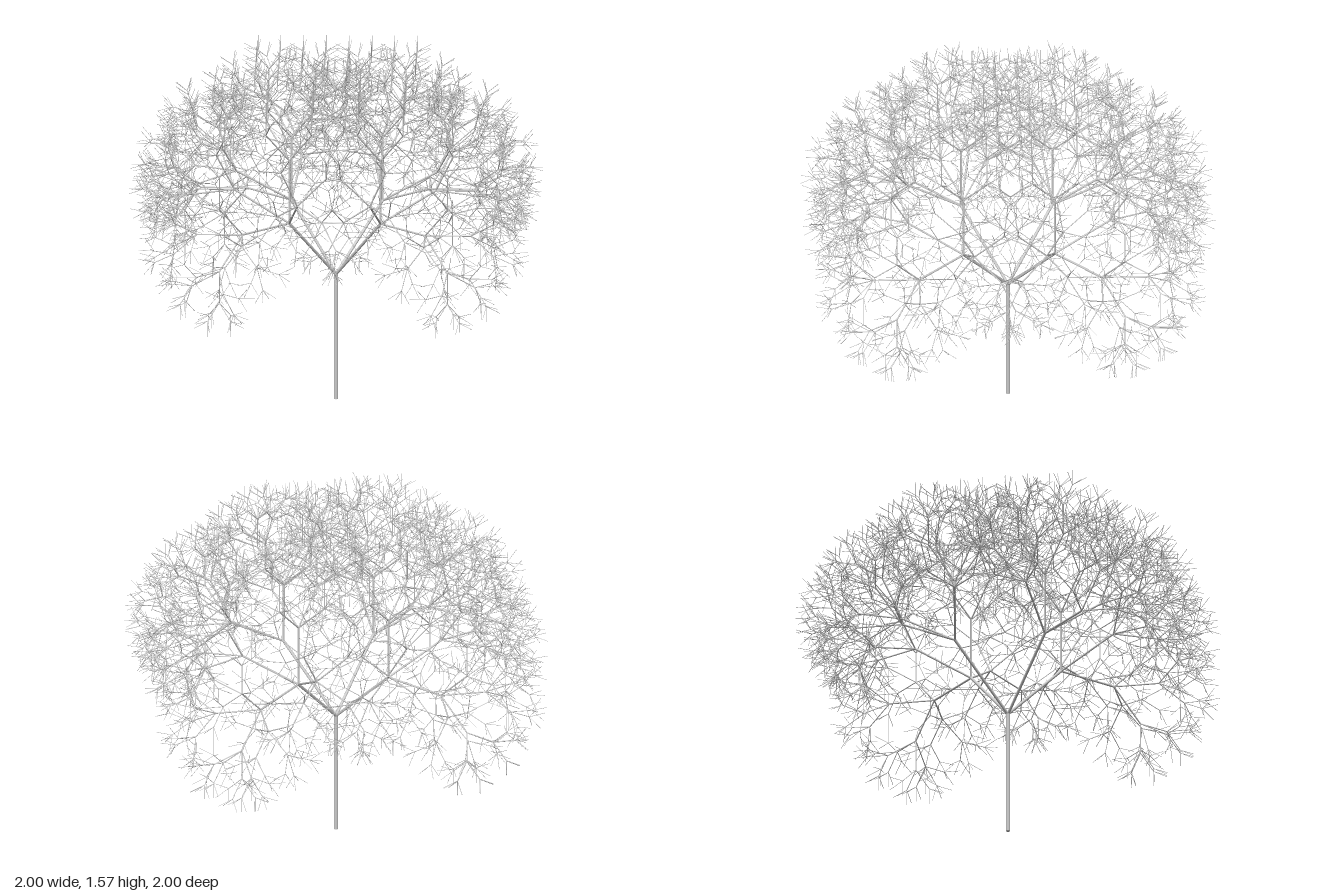
import * as THREE from 'three';
import { mergeGeometries } from 'three/addons/utils/BufferGeometryUtils.js';

const TRUNK = 4 / 7;          // trunk length
const RADIUS = 0.009;         // trunk radius
const RATIO = Math.SQRT1_2;   // each generation shrinks by this factor
const SPREAD = Math.PI / 4;   // lean of a branch from its parent
const NAMES = ['trunk', 'limbs', 'boughs', 'branches', 'smallBranches', 'twigs', 'twigTips'];
const SIDES = [12, 10, 8, 8, 6, 6, 5];
const UP = new THREE.Vector3(0, 1, 0);

// Four fork directions around an upright parent
const FORKS = [0, 1, 2, 3].map((k) =>
  new THREE.Vector3(Math.sin(SPREAD), Math.cos(SPREAD), 0).applyAxisAngle(UP, k * Math.PI / 2));

// Shortest turn from upright to a direction; straight down is snapped to stay exact
function turnTo(direction) {
  if (direction.y < -0.99999) direction.set(0, -1, 0);
  return new THREE.Quaternion().setFromUnitVectors(UP, direction);
}

export function createModel() {
  const tree = new THREE.Group();
  tree.name = 'tree';
  const material = new THREE.MeshStandardMaterial({ color: 0xcccccc });
  const one = new THREE.Vector3(1, 1, 1);

  // Each branch has a foot and a direction
  let branches = [{ foot: new THREE.Vector3(), direction: UP.clone() }];
  NAMES.forEach((name, level) => {
    const scale = RATIO ** level;
    const length = TRUNK * scale;
    const radius = RADIUS * scale;
    const stick = new THREE.CylinderGeometry(radius, radius, length, SIDES[level]);
    stick.translate(0, length / 2, 0);

    // All branches of this generation, and the forks growing from their tips
    const next = [];
    const sticks = branches.map(({ foot, direction }) => {
      const turn = turnTo(direction);
      const tip = foot.clone().addScaledVector(direction, length);
      for (const fork of FORKS) {
        next.push({ foot: tip, direction: fork.clone().applyQuaternion(turn).normalize() });
      }
      return stick.clone().applyMatrix4(new THREE.Matrix4().compose(foot, turn, one));
    });
    const mesh = new THREE.Mesh(mergeGeometries(sticks), material);
    mesh.name = name;
    tree.add(mesh);
    branches = next;
  });
  return tree;
}
